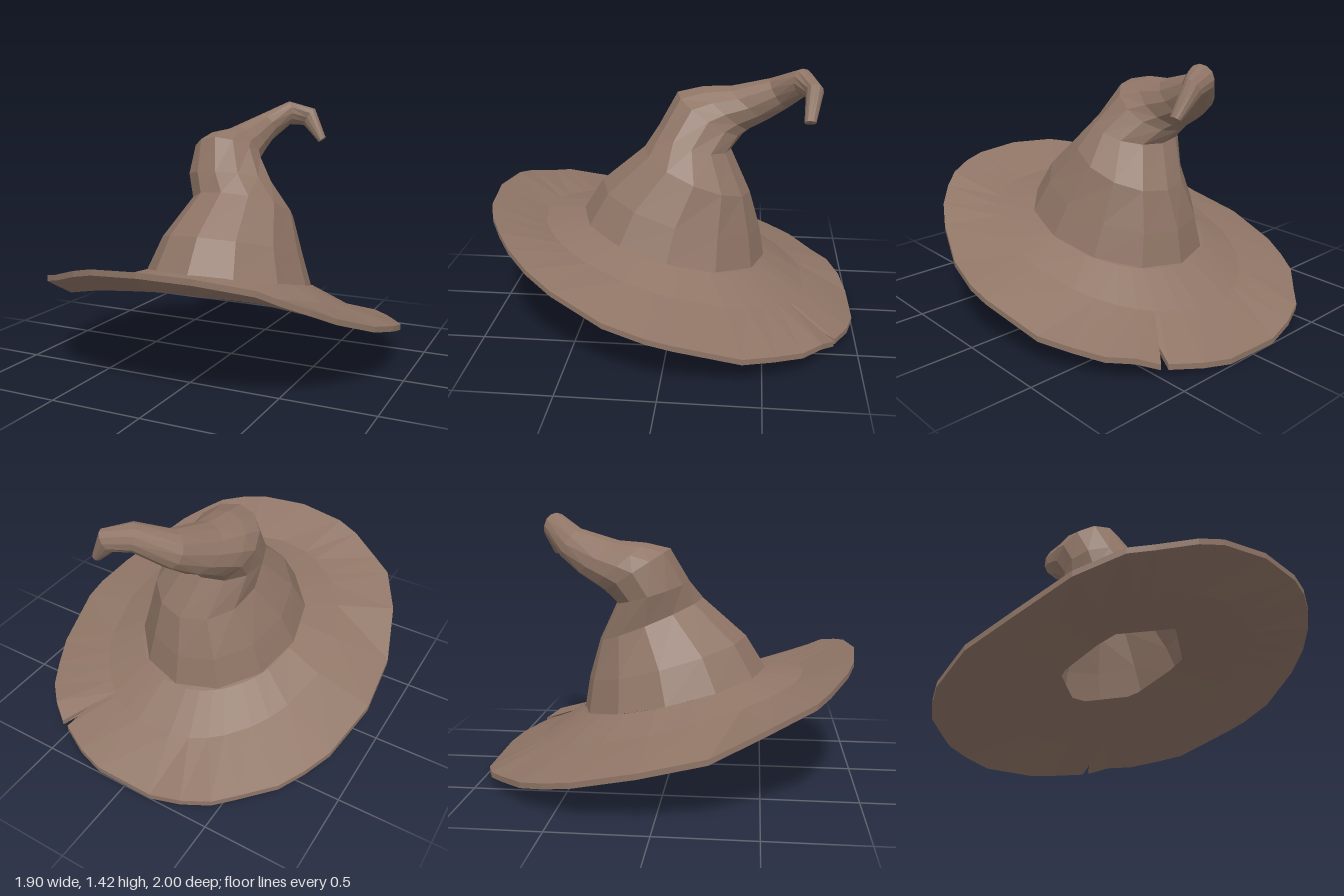
import * as THREE from 'three';

const felt = new THREE.MeshStandardMaterial({ color: 0x8f7566, flatShading: true, side: THREE.DoubleSide });
felt.name = 'brown felt';

// Joins closed loops of equal length; loops run front -> left and are stacked upward or inward.
function loft(loops, capEnd = false) {
  const n = loops[0].length;
  const pos = loops.flat().flat();
  const index = [];
  for (let i = 0; i < loops.length - 1; i++) {
    for (let j = 0; j < n; j++) {
      const a = i * n + j, b = i * n + (j + 1) % n;
      index.push(a, b, b + n, a, b + n, a + n);
    }
  }
  if (capEnd) {
    const s = (loops.length - 1) * n;
    for (let j = 1; j < n - 1; j++) index.push(s, s + j, s + j + 1);
  }
  const g = new THREE.BufferGeometry();
  g.setAttribute('position', new THREE.Float32BufferAttribute(pos, 3));
  g.setIndex(index);
  const flat = g.toNonIndexed();
  flat.computeVertexNormals();
  return flat;
}

// Wavy outer edge of the brim: x, y, z from the front round by the left, with a torn notch at the back
const RIM = [
  [0, 0.70, 1], [0.27, 0.69, 0.97], [0.40, 0.67, 0.93], [0.53, 0.64, 0.86], [0.62, 0.59, 0.79],
  [0.72, 0.53, 0.68], [0.80, 0.46, 0.54], [0.91, 0.36, 0.27], [0.95, 0.31, 0.06], [0.95, 0.28, -0.07],
  [0.88, 0.18, -0.40], [0.80, 0.155, -0.56], [0.72, 0.135, -0.70], [0.62, 0.13, -0.80], [0.52, 0.09, -0.87],
  [0.43, 0.14, -0.73], [0.48, 0.08, -0.88], [0.32, 0.06, -0.96], [0.17, 0.04, -1], [-0.16, 0.03, -1],
  [-0.33, 0.06, -0.97], [-0.48, 0.085, -0.91], [-0.58, 0.10, -0.82], [-0.74, 0.135, -0.68],
  [-0.82, 0.165, -0.55], [-0.89, 0.20, -0.40], [-0.95, 0.28, -0.07], [-0.92, 0.35, 0.26],
  [-0.82, 0.48, 0.55], [-0.69, 0.56, 0.76], [-0.58, 0.59, 0.83], [-0.40, 0.65, 0.93], [-0.27, 0.68, 0.97],
];

function brimGeometry() {
  const angles = RIM.map(([x, , z]) => Math.atan2(x, z));
  const ring = (rx, rz, y0, slope, radius = () => 1) => angles.map((a) => {
    const z = rz * Math.cos(a) * radius(a);
    return [rx * Math.sin(a) * radius(a), y0 + slope * z, z];
  });
  // six-sided head opening
  const hexagon = (a) => {
    const step = Math.PI / 3;
    const t = ((a % step) + step) % step;
    return Math.cos(step / 2) / Math.cos(t - step / 2);
  };
  return loft([
    ring(0.31, 0.4, 0.40, 0.25, hexagon),
    ring(0.64, 0.73, 0.345, 0.265),
    RIM.map(([x, y, z]) => [x, y - 0.03, z]),
    RIM,
    ring(0.64, 0.73, 0.375, 0.265),
    ring(0.45, 0.51, 0.455, 0.245),
  ]);
}

// Crown cross-sections: centre, vector to the front/top edge, vector to the left edge
const CROWN = [
  [[0, 0.455, 0.01], [0, 0.125, 0.51], [0.45, 0, 0]],
  [[0, 0.63, -0.03], [0, 0.125, 0.44], [0.385, 0, 0]],
  [[0.02, 0.84, -0.12], [0, 0.12, 0.29], [0.285, 0, 0]],
  [[-0.05, 1.0, -0.10], [0, 0.06, 0.20], [0.245, 0, 0]],
  [[-0.10, 1.125, -0.18], [0, 0.115, 0.18], [0.195, 0, 0]],
  [[-0.11, 1.155, -0.265], [0, 0.115, 0.135], [0.16, 0, 0]],
  [[-0.09, 1.19, -0.39], [0, 0.09, 0.11], [0.125, 0, 0]],
  [[-0.04, 1.26, -0.55], [0, 0.08, 0.05], [0.085, 0, 0.02]],
  [[0.08, 1.35, -0.67], [0, 0.07, 0.01], [0.035, 0, 0.055]],
  [[0.19, 1.325, -0.72], [0.035, 0.05, 0], [0, 0, 0.045]],
  [[0.282, 1.19, -0.70], [0.02, 0.015, 0], [0, 0, 0.03]],
];

function crownGeometry(sides = 12) {
  const loops = CROWN.map(([c, front, left]) => Array.from({ length: sides }, (_, j) => {
    const a = (j / sides) * Math.PI * 2;
    return c.map((v, k) => v + front[k] * Math.cos(a) + left[k] * Math.sin(a));
  }));
  return loft(loops, true);
}

export function createModel() {
  const hat = new THREE.Group();
  hat.name = 'pointedHat';
  const add = (name, geometry) => {
    const mesh = new THREE.Mesh(geometry, felt);
    mesh.name = name;
    hat.add(mesh);
  };
  add('brim', brimGeometry());
  add('bentCrown', crownGeometry());
  return hat;
}
